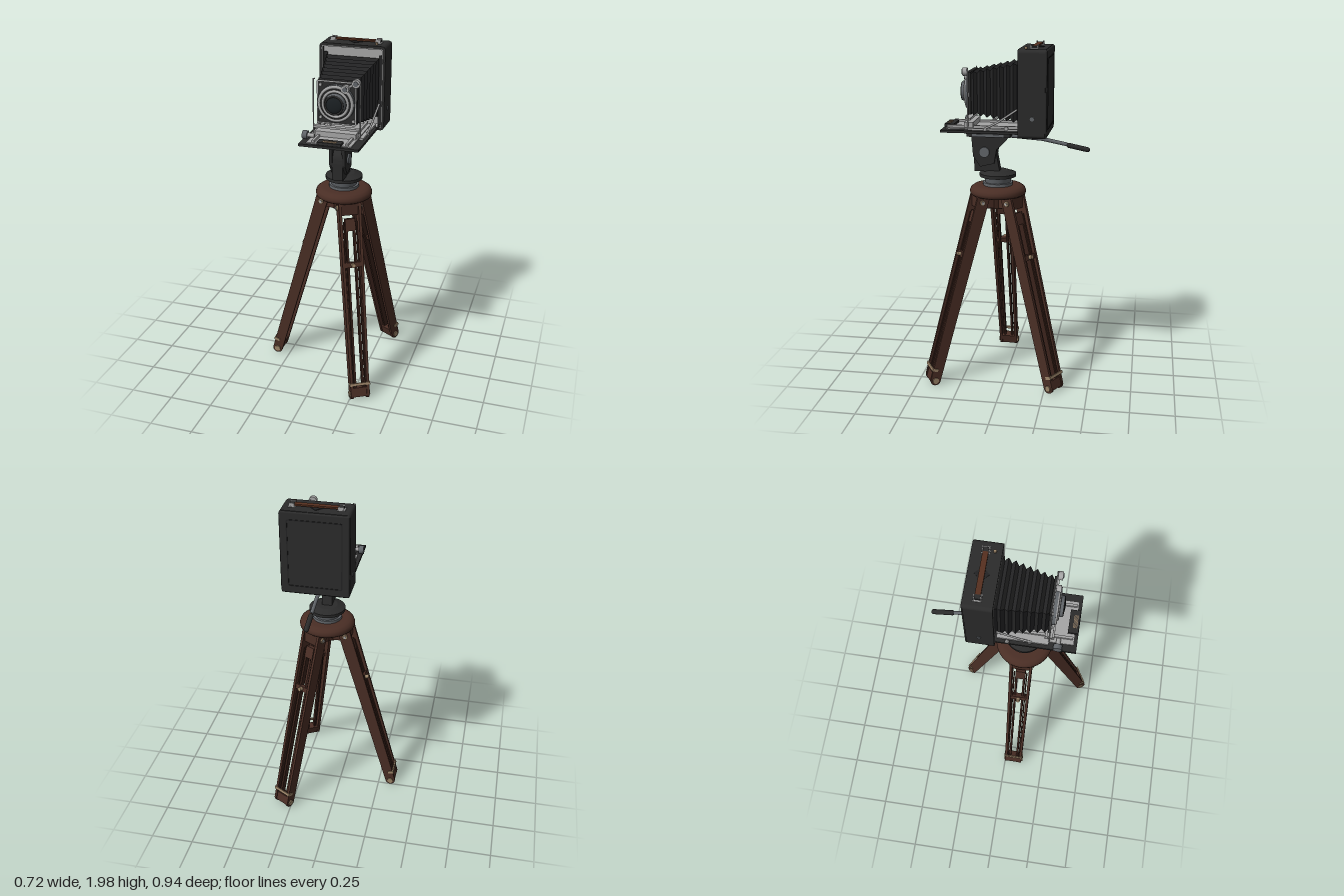
import * as THREE from 'three';
import { RoundedBoxGeometry } from 'three/addons/geometries/RoundedBoxGeometry.js';

const mat = (name, color, side = THREE.FrontSide) => {
  const m = new THREE.MeshStandardMaterial({ color, side });
  m.name = name;
  return m;
};

export function createModel() {
  const black = mat('black leather', 0x2b2b2b);
  const cloth = mat('bellows black', 0x232324, THREE.DoubleSide);
  const wood = mat('brown wood', 0x4a2e25);
  const darkWood = mat('dark wood', 0x3a231b);
  const silver = mat('silver', 0xa6a6a6);
  const steel = mat('grey steel', 0x62666a);
  const bronze = mat('bronze', 0x9c8468);
  const strapBrown = mat('strap leather', 0x56301f);
  const glass = mat('lens glass', 0x1b2023);

  const CX = 0.09, CZ = 0.055; // tripod axis; the camera shares CX
  const model = new THREE.Group();
  model.name = 'fieldCameraOnTripod';

  const add = (parent, name, geo, m, x = 0, y = 0, z = 0) => {
    const mesh = new THREE.Mesh(geo, m);
    mesh.name = name;
    mesh.position.set(x, y, z);
    parent.add(mesh);
    return mesh;
  };
  const box = (p, name, m, w, h, d, x, y, z) => add(p, name, new THREE.BoxGeometry(w, h, d), m, x, y, z);
  // cylinder along 'x', 'y' or 'z'
  const cyl = (p, name, m, r, len, axis, x, y, z, n = 24, r2 = r) => {
    const g = new THREE.CylinderGeometry(r2, r, len, n);
    if (axis === 'x') g.rotateZ(-Math.PI / 2);
    if (axis === 'z') g.rotateX(Math.PI / 2);
    return add(p, name, g, m, x, y, z);
  };
  const rod = (p, name, m, r, pts) => {
    const path = new THREE.CurvePath();
    const v = pts.map(a => new THREE.Vector3(...a));
    for (let i = 1; i < v.length; i++) path.add(new THREE.LineCurve3(v[i - 1], v[i]));
    return add(p, name, new THREE.TubeGeometry(path, 12 * (v.length - 1), r, 8), m);
  };
  const poly = pts => new THREE.Shape(pts.map(a => new THREE.Vector2(...a)));
  // (z, y) outline extruded across x, centred on CX
  const sideProfile = (p, name, m, shape, width, x = CX) => {
    const g = new THREE.ExtrudeGeometry(shape, { depth: width, bevelEnabled: false, curveSegments: 16 });
    g.rotateY(-Math.PI / 2);
    return add(p, name, g, m, x + width / 2);
  };
  const roundRect = (C, w, h, r) => {
    const s = new C(), a = w / 2 - r, b = h / 2 - r, q = Math.PI / 2;
    [[a, b], [-a, b], [-a, -b], [a, -b]].forEach(([x, y], i) => s.absarc(x, y, r, i * q, (i + 1) * q, false));
    s.closePath();
    return s;
  };
  const frame = (p, name, m, w, h, r, iw, ih, ir, depth, x, y, z) => {
    const s = roundRect(THREE.Shape, w, h, r);
    s.holes.push(roundRect(THREE.Path, iw, ih, ir));
    return add(p, name, new THREE.ExtrudeGeometry(s, { depth, bevelEnabled: false, curveSegments: 6 }), m, x, y, z);
  };

  // --- tripod hub
  const tripod = new THREE.Group();
  tripod.name = 'tripod';
  tripod.position.set(CX, 0, CZ);
  model.add(tripod);
  const lathe = (name, m, pts) =>
    add(tripod, name, new THREE.LatheGeometry(pts.map(a => new THREE.Vector2(...a)), 40), m);
  lathe('hubDisc', wood, [[0, 1.135], [0.15, 1.135], [0.16, 1.143], [0.162, 1.158], [0.156, 1.174], [0.14, 1.186], [0.115, 1.19], [0, 1.19]]);
  cyl(tripod, 'hubCore', darkWood, 0.075, 0.08, 'y', 0, 1.1, 0, 6);
  cyl(tripod, 'pedestalFoot', steel, 0.085, 0.018, 'y', 0, 1.198, 0, 40);
  cyl(tripod, 'pedestal', steel, 0.072, 0.035, 'y', 0, 1.222, 0, 40, 0.08);
  cyl(tripod, 'panDisc', black, 0.105, 0.018, 'y', 0, 1.25, 0, 40);
  cyl(tripod, 'panDiscTop', black, 0.1, 0.016, 'y', 0, 1.267, 0, 40, 0.06);

  // --- legs: local -y runs down the leg, local +x faces outwards
  const L = 1.105;
  const board = new THREE.Shape();
  board.moveTo(-0.036, 0.035);
  board.lineTo(-0.03, -L + 0.01);
  board.absarc(0, -L + 0.005, 0.03, Math.PI, Math.PI * 2, false);
  board.lineTo(0.036, 0.035);
  const boardGeo = new THREE.ExtrudeGeometry(board, { depth: 0.016, bevelEnabled: false, curveSegments: 10 });
  boardGeo.translate(0, 0, -0.008);
  [Math.PI, Math.PI / 3, -Math.PI / 3].forEach(angle => {
    const spoke = new THREE.Group(), leg = new THREE.Group();
    spoke.name = 'legMount';
    leg.name = 'leg';
    spoke.rotation.y = angle;
    leg.position.set(0.118, 1.105, 0);
    leg.rotation.z = 0.274;
    spoke.add(leg);
    tripod.add(spoke);
    box(spoke, 'hubBracket', wood, 0.11, 0.075, 0.1, 0.088, 1.103, 0);
    for (const s of [-1, 1]) {
      const b = add(leg, 'outerBoard', boardGeo, wood, 0, 0, s * 0.057);
      b.rotation.x = s * 0.009;
      box(leg, 'innerRail', darkWood, 0.03, 0.98, 0.012, 0, -0.57, s * 0.023);
      box(leg, 'innerGuide', darkWood, 0.014, 0.98, 0.007, 0.012, -0.57, s * 0.037);
      cyl(leg, 'topBolt', bronze, 0.016, 0.012, 'z', 0, 0, s * 0.068, 12);
      cyl(leg, 'topBoltCap', silver, 0.008, 0.016, 'z', 0, 0, s * 0.07, 10);
      cyl(leg, 'footBolt', bronze, 0.018, 0.01, 'z', 0, -L + 0.005, s * 0.057, 14);
      box(leg, 'bandSide', bronze, 0.035, 0.016, 0.005, 0.02, -L + 0.07, s * 0.058);
    }
    box(leg, 'railTopBlock', wood, 0.034, 0.07, 0.058, 0, -0.1, 0);
    box(leg, 'footBlock', wood, 0.05, 0.055, 0.088, 0, -L + 0.018, 0);
    box(leg, 'footBand', bronze, 0.008, 0.016, 0.116, 0.034, -L + 0.07, 0);
    box(leg, 'clampBar', wood, 0.03, 0.03, 0.1, 0.012, -0.33, 0);
    cyl(leg, 'clampKnob', bronze, 0.012, 0.024, 'x', 0.036, -0.33, 0, 12);
  });

  // --- tilt head and pan handle
  const head = new THREE.Group();
  head.name = 'tiltHead';
  model.add(head);
  const neck = poly([[0.04, 1.27], [0.185, 1.27], [0.19, 1.37]]);
  neck.absarc(0.125, 1.385, 0.064, 0, Math.PI, false);
  sideProfile(head, 'neck', black, neck, 0.06);
  for (const s of [-1, 1])
    sideProfile(head, 'tiltCheek', black, poly([[0.07, 1.32], [0.15, 1.3], [0.19, 1.36], [0.2, 1.48], [-0.02, 1.48], [0, 1.455], [0.055, 1.4]]), 0.018, CX + s * 0.037);
  cyl(head, 'tiltAxle', steel, 0.03, 0.11, 'x', CX, 1.385, 0.125, 20);
  box(head, 'headPlate', black, 0.14, 0.035, 0.25, CX, 1.493, 0.098);
  box(head, 'plateStrip', steel, 0.15, 0.014, 0.18, CX, 1.485, 0.1);
  rod(head, 'panRod', steel, 0.011, [[CX, 1.475, -0.02], [CX, 1.462, -0.2], [CX, 1.435, -0.34]]);
  const grip = add(head, 'panGrip', new THREE.CapsuleGeometry(0.014, 0.108, 5, 14), black, CX, 1.419, -0.403);
  grip.rotation.x = Math.PI / 2 - 0.2;

  // --- camera body: open-fronted case
  const camera = new THREE.Group();
  camera.name = 'camera';
  model.add(camera);
  const CY = 1.735;
  frame(camera, 'caseWalls', black, 0.38, 0.48, 0.02, 0.345, 0.445, 0.01, 0.15, CX, CY, -0.235);
  frame(camera, 'caseTrim', silver, 0.352, 0.452, 0.012, 0.342, 0.442, 0.008, 0.003, CX, CY, -0.086);
  add(camera, 'caseBack', new RoundedBoxGeometry(0.375, 0.475, 0.02, 2, 0.009), black, CX, CY, -0.234);
  frame(camera, 'backPanelRim', cloth, 0.3, 0.39, 0.012, 0.288, 0.378, 0.008, 0.004, CX, CY, -0.247);
  box(camera, 'frontPlate', silver, 0.345, 0.445, 0.008, CX, CY, -0.115);
  for (const s of [-1, 1]) {
    box(camera, 'plateSide', cloth, 0.022, 0.4, 0.012, CX + s * 0.16, 1.72, -0.11);
    cyl(camera, 'sideButton', steel, 0.012, 0.008, 'x', CX + s * 0.19, 1.605, -0.165, 16);
  }

  // carrying strap
  box(camera, 'strap', strapBrown, 0.24, 0.009, 0.03, CX, 1.986, -0.168);
  for (const s of [-1, 1]) {
    const x = CX + s * 0.131;
    box(camera, 'strapPlate', silver, 0.042, 0.005, 0.044, x, 1.977, -0.168);
    box(camera, 'strapCentre', black, 0.025, 0.016, 0.028, x, 1.983, -0.168);
    for (const t of [-1, 1]) box(camera, 'strapLug', silver, 0.03, 0.022, 0.006, x, 1.986, -0.168 + t * 0.018);
  }
  const diamond = box(camera, 'topDiamond', cloth, 0.056, 0.004, 0.056, CX, 1.976, -0.168);
  diamond.rotation.y = Math.PI / 4;
  cyl(camera, 'releaseButton', bronze, 0.008, 0.014, 'y', 0.22, 1.98, -0.122, 12);

  // bellows: tapering rectangular rings, alternately wide and narrow
  const rings = 17, pos = [];
  const corner = (i, k) => {
    const t = i / (rings - 1), out = i % 2 ? 0.008 : -0.008;
    const w = 0.148 - 0.048 * t + out, h = 0.163 - 0.053 * t + out;
    const sx = k === 1 || k === 2 ? 1 : -1, sy = k > 1 ? 1 : -1;
    return [CX + sx * w, 1.74 - 0.015 * t + sy * h, -0.112 + 0.302 * t];
  };
  for (let i = 0; i < rings - 1; i++)
    for (let k = 0; k < 4; k++) {
      const n = (k + 1) % 4, a = corner(i, k), b = corner(i, n), c = corner(i + 1, n), d = corner(i + 1, k);
      pos.push(...a, ...b, ...c, ...a, ...c, ...d);
    }
  const bellows = new THREE.BufferGeometry();
  bellows.setAttribute('position', new THREE.Float32BufferAttribute(pos, 3));
  bellows.computeVertexNormals();
  add(camera, 'bellows', bellows, cloth);

  // --- drop bed with rails
  const bed = new THREE.Group();
  bed.name = 'bed';
  model.add(bed);
  box(bed, 'bedBoard', black, 0.335, 0.014, 0.44, CX - 0.002, 1.52, 0.13);
  box(bed, 'bedPlate', silver, 0.25, 0.006, 0.4, CX - 0.005, 1.53, 0.13);
  for (const s of [-1, 1]) {
    box(bed, 'rail', silver, 0.014, 0.016, 0.4, CX + s * 0.095, 1.538, 0.125);
    box(bed, 'railOuter', silver, 0.022, 0.01, 0.28, CX + s * 0.138, 1.533, 0.06);
    rod(bed, 'brace', silver, 0.006, [[CX + s * 0.148, 1.535, 0.11], [CX + s * 0.152, 1.575, 0.03], [CX + s * 0.162, 1.65, -0.08]]);
    cyl(bed, 'bracePivot', silver, 0.012, 0.012, 'x', CX + s * 0.168, 1.545, -0.02, 14);
    cyl(bed, 'braceFoot', silver, 0.01, 0.014, 'y', CX + s * 0.148, 1.535, 0.1, 12);
  }
  box(bed, 'frontPull', black, 0.135, 0.016, 0.055, CX, 1.538, 0.32);
  for (let i = 0; i < 4; i++) box(bed, 'pullRib', bronze, 0.075, 0.003, 0.003, CX, 1.547, 0.318 + i * 0.006);
  cyl(bed, 'focusShaft', silver, 0.012, 0.04, 'x', -0.04, 1.546, 0.25, 14);
  cyl(bed, 'focusKnob', steel, 0.024, 0.028, 'x', -0.072, 1.546, 0.25, 16);

  // --- front standard and lens
  const front = new THREE.Group();
  front.name = 'frontStandard';
  model.add(front);
  const LY = 1.725, LZ = 0.2;
  box(front, 'lensBoard', black, 0.215, 0.235, 0.014, CX, LY, LZ - 0.006);
  frame(front, 'boardTrim', silver, 0.222, 0.242, 0.01, 0.208, 0.228, 0.006, 0.004, CX, LY, LZ);
  box(front, 'standardFoot', silver, 0.23, 0.03, 0.05, CX, 1.55, LZ);
  box(front, 'standardBase', silver, 0.26, 0.012, 0.03, CX, 1.585, LZ + 0.002);
  rod(front, 'wireFrame', silver, 0.004, [[-0.042, 1.545, LZ], [-0.042, 1.85, LZ], [-0.03, 1.85, LZ]]);
  rod(front, 'wireFrame', silver, 0.004, [[0.222, 1.545, LZ], [0.222, 1.85, LZ], [0.21, 1.85, LZ]]);
  cyl(front, 'shutterBack', steel, 0.103, 0.02, 'z', CX, LY, LZ + 0.01, 40);
  add(front, 'shutterRim', new THREE.TorusGeometry(0.092, 0.009, 8, 40), silver, CX, LY, LZ + 0.02);
  cyl(front, 'shutterFace', black, 0.086, 0.012, 'z', CX, LY, LZ + 0.02, 40);
  add(front, 'speedRing', new THREE.TorusGeometry(0.07, 0.008, 8, 40), silver, CX, LY, LZ + 0.028);
  cyl(front, 'lensBarrel', steel, 0.06, 0.03, 'z', CX, LY, LZ + 0.036, 36, 0.055);
  add(front, 'lensRim', new THREE.TorusGeometry(0.049, 0.006, 8, 36), black, CX, LY, LZ + 0.051);
  const lens = add(front, 'lensGlass', new THREE.SphereGeometry(0.045, 28, 10, 0, Math.PI * 2, 0, Math.PI / 2), glass, CX, LY, LZ + 0.05);
  lens.rotation.x = Math.PI / 2;
  lens.scale.y = 0.25;
  for (const [x, y, r] of [[0.143, 1.81, 0.022], [0.203, 1.845, 0.023]]) {
    cyl(front, 'shutterDial', silver, r, 0.026, 'z', x, y, LZ + 0.016, 20);
    cyl(front, 'dialCap', steel, r * 0.6, 0.005, 'z', x, y, LZ + 0.031, 16);
  }
  box(front, 'finderArm', silver, 0.075, 0.012, 0.01, 0.173, 1.828, LZ + 0.008).rotation.z = 0.5;
  for (const [x, y] of [[0.0, 1.82], [0.0, 1.64], [0.185, 1.63]])
    cyl(front, 'boardScrew', silver, 0.009, 0.01, 'z', x, y, LZ + 0.004, 12);
  return model;
}
